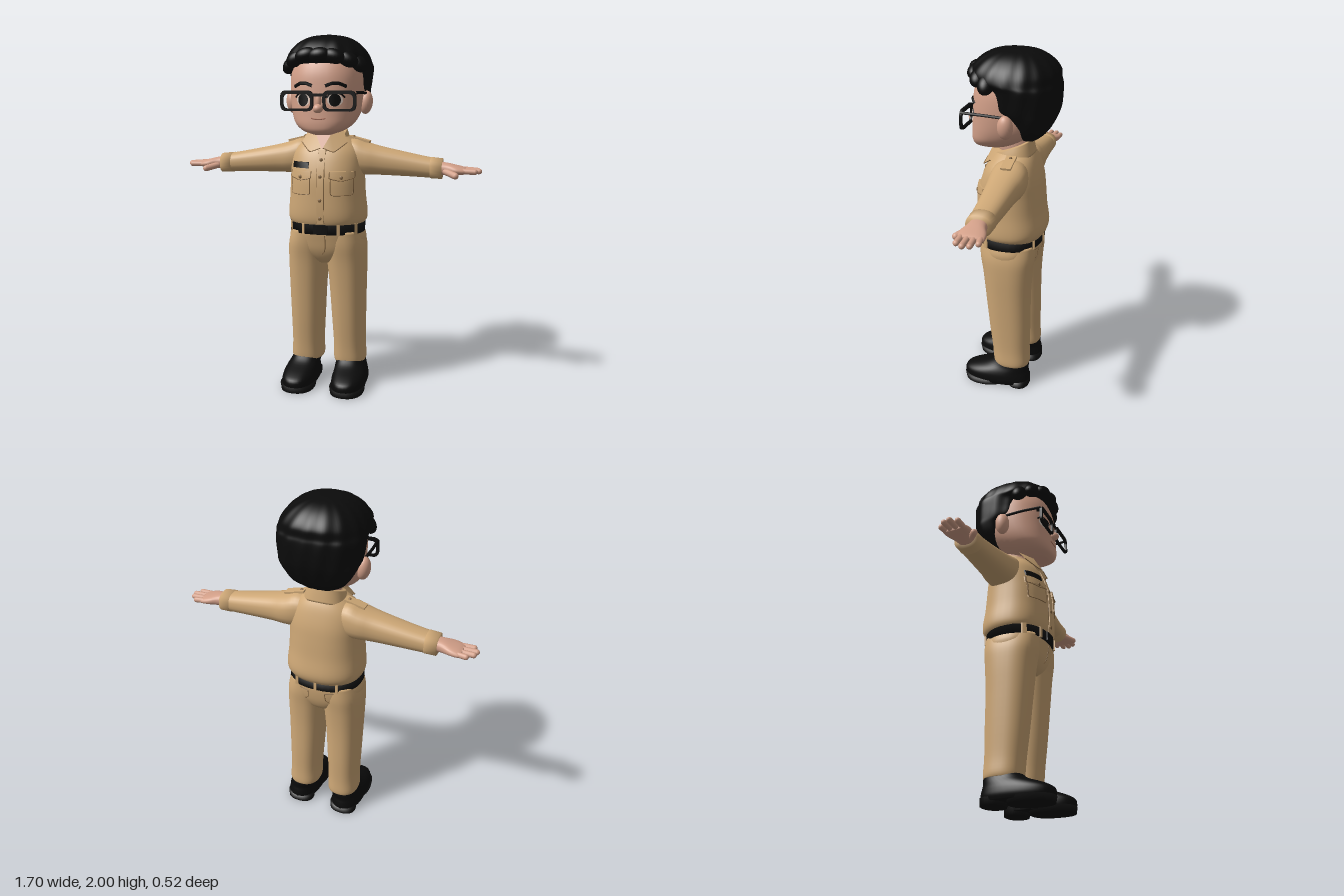
import * as THREE from 'three';
import { mergeVertices } from 'three/addons/utils/BufferGeometryUtils.js';

const P = 2.35; // roundness of the cross-sections
const V = (x, y, z) => new THREE.Vector3(x, y, z);

// Smoothly fills in rows of [height, centreX, centreZ, radiusX, radiusZ]
function densify(rows, sub) {
  const out = [], at = i => rows[Math.max(0, Math.min(rows.length - 1, i))];
  for (let i = 0; i < rows.length - 1; i++) for (let s = 0; s < sub; s++) {
    const t = s / sub;
    out.push(rows[i].map((b, k) => {
      const a = at(i - 1)[k], c = at(i + 1)[k], d = at(i + 2)[k];
      return b + 0.5 * t * (c - a + t * (2 * a - 5 * b + 4 * c - d + t * (3 * (b - c) + d - a)));
    }));
  }
  out.push(rows[rows.length - 1]);
  return out;
}

// Closed solid through rounded cross-sections stacked along y
function loft(rows, sub = 4, seg = 40) {
  const r = densify(rows, sub), pos = [], idx = [], n = r.length;
  const pw = v => Math.sign(v) * Math.pow(Math.abs(v), 2 / P);
  for (const [y, cx, cz, rx, rz] of r) for (let j = 0; j < seg; j++) {
    const a = j / seg * Math.PI * 2;
    pos.push(cx + rx * pw(Math.cos(a)), y, cz + rz * pw(Math.sin(a)));
  }
  for (const i of [0, n - 1]) pos.push(r[i][1], r[i][0], r[i][2]);
  for (let j = 0; j < seg; j++) {
    const k = (j + 1) % seg;
    for (let i = 0; i < n - 1; i++) {
      const a = i * seg + j, b = i * seg + k, c = a + seg, d = b + seg;
      idx.push(a, c, b, b, c, d);
    }
    idx.push(n * seg, j, k, n * seg + 1, (n - 1) * seg + k, (n - 1) * seg + j);
  }
  const g = new THREE.BufferGeometry();
  g.setAttribute('position', new THREE.Float32BufferAttribute(pos, 3));
  g.setIndex(idx);
  g.computeVertexNormals();
  return g;
}
// Same, along x, with rows of [x, centreY, centreZ, radiusY, radiusZ]
const loftX = (rows, sub) => loft(rows.map(([x, cy, ...r]) => [x, -cy, ...r]), sub, 28).rotateZ(-Math.PI / 2);

// Depth of a lofted surface at x, y (side 1 is the front, -1 the back)
function depth(rows, x, y, side = 1) {
  const r = densify(rows, 4);
  let i = 0;
  while (i < r.length - 2 && r[i + 1][0] < y) i++;
  const t = THREE.MathUtils.clamp((y - r[i][0]) / (r[i + 1][0] - r[i][0]), 0, 1);
  const [, cx, cz, rx, rz] = r[i].map((v, k) => v + (r[i + 1][k] - v) * t);
  const u = Math.min(1, Math.abs((x - cx) / rx));
  return cz + side * rz * Math.pow(1 - Math.pow(u, P), 1 / P);
}
// Bends a flat geometry onto a lofted surface
function drape(g, rows, lift = 0) {
  const p = g.attributes.position;
  for (let i = 0; i < p.count; i++) p.setZ(i, p.getZ(i) + lift + depth(rows, p.getX(i), p.getY(i)));
  g.computeVertexNormals();
  return g;
}
const plate = (rows, x, y, w, h, t = 0.012) => drape(new THREE.BoxGeometry(w, h, t, 8, 6, 1).translate(x, y, 0), rows);
const tube = (pts, r) => new THREE.TubeGeometry(new THREE.CatmullRomCurve3(pts, false, 'catmullrom', 0.2), 28, r, 6);
const seam = (rows, pts, side = 1, r = 0.0025) => tube(pts.map(([x, y]) => V(x, y, depth(rows, x, y, side))), r);
const ball = (x, y, z, a, b, c, tilt = 0) => new THREE.SphereGeometry(1, 24, 16).scale(a, b, c).rotateZ(tilt).translate(x, y, z);
function capsule(a, b, r) {
  const d = b.clone().sub(a), q = new THREE.Quaternion().setFromUnitVectors(V(0, 1, 0), d.clone().normalize());
  const m = a.clone().add(b).multiplyScalar(0.5);
  return new THREE.CapsuleGeometry(r, d.length(), 6, 12).applyQuaternion(q).translate(m.x, m.y, m.z);
}
function mirrored(g) {
  const m = g.index ? g.clone() : mergeVertices(g);
  m.scale(-1, 1, 1);
  const a = m.index.array;
  for (let i = 0; i < a.length; i += 3) [a[i], a[i + 1]] = [a[i + 1], a[i]];
  return m;
}
function sheet(points, tris) {
  const g = new THREE.BufferGeometry().setFromPoints(points.map(p => V(...p)));
  g.setIndex(tris);
  g.computeVertexNormals();
  return g;
}

const TORSO = [[0.957, 0, -0.005, 0.2, 0.172], [0.985, 0, -0.008, 0.219, 0.187], [1.03, 0, -0.008, 0.222, 0.193],
  [1.12, 0, -0.002, 0.213, 0.186], [1.22, 0, 0, 0.208, 0.18], [1.3, 0, -0.005, 0.205, 0.166],
  [1.37, 0, -0.01, 0.19, 0.143], [1.42, 0, -0.018, 0.15, 0.116], [1.46, 0, -0.02, 0.09, 0.09]];
const HIPS = [[0.74, 0, -0.005, 0.07, 0.1], [0.77, 0, -0.005, 0.13, 0.13], [0.82, 0, -0.004, 0.2, 0.152],
  [0.88, 0, -0.003, 0.219, 0.164], [0.93, 0, 0, 0.207, 0.17], [0.96, 0, 0, 0.2, 0.17]];
const HEAD = [[1.465, 0, 0.12, 0.045, 0.055], [1.485, 0, 0.1, 0.108, 0.108], [1.52, 0, 0.07, 0.155, 0.146],
  [1.57, 0, 0.03, 0.182, 0.184], [1.64, 0, 0, 0.198, 0.21], [1.72, 0, -0.01, 0.204, 0.215],
  [1.8, 0, -0.02, 0.2, 0.213], [1.88, 0, -0.03, 0.175, 0.185], [1.95, 0, -0.04, 0.1, 0.11]];
const HAIR = [[1.53, 0, -0.105, 0.09, 0.045], [1.57, 0, -0.11, 0.15, 0.085], [1.62, 0, -0.12, 0.187, 0.105],
  [1.67, 0, -0.115, 0.21, 0.132], [1.71, 0, -0.085, 0.222, 0.172], [1.77, 0, -0.08, 0.23, 0.18],
  [1.82, 0, -0.072, 0.235, 0.186], [1.85, 0, -0.03, 0.233, 0.222], [1.89, 0, -0.02, 0.218, 0.23],
  [1.93, 0, -0.018, 0.19, 0.205], [1.965, 0, -0.018, 0.148, 0.162], [1.988, 0, -0.02, 0.095, 0.105], [1.998, 0, -0.02, 0.03, 0.035]];

export function createModel() {
  const model = new THREE.Group();
  model.name = 'uniformedFigure';
  const mat = (name, color, side = THREE.FrontSide) => {
    const m = new THREE.MeshStandardMaterial({ color, side });
    m.name = name;
    return m;
  };
  const khaki = mat('khaki cloth', 0xcda776, THREE.DoubleSide), stitch = mat('dark stitching', 0x8a6a45);
  const skin = mat('skin', 0xd3a089, THREE.DoubleSide), black = mat('black', 0x0b0b0b);
  const lips = mat('lips', 0xa86f5c), eyeWhite = mat('eye white', 0xe0cdc0);
  const add = (name, g, m) => {
    const mesh = new THREE.Mesh(g, m);
    mesh.name = name;
    model.add(mesh);
  };
  const pair = (name, g, m) => { add(name + 'Left', g, m); add(name + 'Right', mirrored(g), m); };

  // Shoes with a separate heel and front sole
  pair('shoe', loft([[0.02, 0.143, 0.053, 0.094, 0.196], [0.045, 0.145, 0.053, 0.099, 0.201], [0.075, 0.145, 0.051, 0.096, 0.194],
    [0.1, 0.143, 0.03, 0.09, 0.167], [0.13, 0.135, -0.015, 0.084, 0.125], [0.16, 0.13, -0.032, 0.08, 0.1]]), black);
  pair('shoeHeel', loft([[0, 0.143, -0.085, 0.08, 0.062], [0.04, 0.143, -0.08, 0.084, 0.067]], 1), black);
  pair('shoeSole', loft([[0, 0.145, 0.125, 0.095, 0.122], [0.035, 0.145, 0.125, 0.1, 0.128]], 1), black);

  // Trousers
  pair('trouserLeg', loft([[0.14, 0.127, -0.035, 0.09, 0.104], [0.165, 0.127, -0.034, 0.094, 0.108], [0.25, 0.125, -0.028, 0.091, 0.11],
    [0.4, 0.122, -0.02, 0.096, 0.12], [0.6, 0.118, -0.01, 0.104, 0.13], [0.75, 0.113, -0.006, 0.112, 0.142],
    [0.85, 0.108, -0.003, 0.113, 0.155], [0.93, 0.1, 0, 0.1, 0.155]]), khaki);
  add('trouserHips', loft(HIPS), khaki);
  add('flySeam', seam(HIPS, [[0.022, 0.91], [0.022, 0.85], [0.015, 0.815], [0, 0.8]]), stitch);
  pair('frontPocketSeam', seam(HIPS, [[0.165, 0.91], [0.185, 0.87], [0.203, 0.83]]), stitch);
  pair('backPocketSeam', seam(HIPS, [[0.05, 0.89], [0.055, 0.84], [0.1, 0.82], [0.15, 0.84], [0.16, 0.89], [0.1, 0.897], [0.05, 0.89]], -1), stitch);

  // Belt, buckle and loops
  const BELT = [[0.917, 0, 0, 0.211, 0.179], [0.972, 0, 0, 0.211, 0.179]];
  add('belt', loft(BELT, 1), black);
  add('beltBuckle', plate(BELT, 0, 0.945, 0.08, 0.05, 0.014), black);
  pair('frontBeltLoop', plate(BELT, 0.1, 0.945, 0.015, 0.062, 0.014), khaki);
  pair('sideBeltLoop', plate(BELT, 0.185, 0.945, 0.013, 0.062, 0.014), khaki);
  for (const x of [-0.12, 0, 0.12])
    add('backBeltLoop', new THREE.BoxGeometry(0.016, 0.062, 0.012).translate(x, 0.945, depth(BELT, x, 0.945, -1)), khaki);

  // Shirt body, sleeves and cuffs
  add('shirtBody', loft(TORSO), khaki);
  pair('sleeve', loftX([[0.06, 1.345, -0.03, 0.075, 0.08], [0.15, 1.337, -0.03, 0.1, 0.1], [0.22, 1.325, -0.03, 0.09, 0.101],
    [0.3, 1.315, -0.028, 0.079, 0.089], [0.45, 1.298, -0.027, 0.065, 0.076], [0.58, 1.284, -0.024, 0.055, 0.067],
    [0.63, 1.281, -0.022, 0.052, 0.063]]), khaki);
  pair('cuff', loftX([[0.575, 1.284, -0.024, 0.058, 0.07], [0.638, 1.28, -0.022, 0.056, 0.068]], 1), khaki);
  pair('epaulette', new THREE.BoxGeometry(0.12, 0.012, 0.055).rotateZ(-0.24).translate(0.175, 1.432, -0.03), khaki);
  pair('epauletteButton', ball(0.14, 1.447, -0.03, 0.009, 0.006, 0.009), stitch);

  // Placket, buttons, pockets and name plate
  add('placket', plate(TORSO, 0, 1.18, 0.038, 0.4), khaki);
  pair('placketSeam', seam(TORSO, [[0.02, 0.98], [0.02, 1.1], [0.02, 1.25], [0.02, 1.38]], 1, 0.003), stitch);
  for (const y of [1.01, 1.11, 1.24, 1.33])
    add('shirtButton', ball(0, y, depth(TORSO, 0, y) + 0.007, 0.01, 0.01, 0.005), stitch);
  pair('chestPocket', plate(TORSO, 0.115, 1.2, 0.115, 0.12, 0.014), khaki);
  pair('pocketSeam', drape(tube([V(0.058, 1.24, 0), V(0.058, 1.15, 0), V(0.07, 1.139, 0), V(0.16, 1.139, 0), V(0.173, 1.15, 0), V(0.173, 1.24, 0)], 0.0025), TORSO, 0.006), stitch);
  pair('pocketFlap', plate(TORSO, 0.115, 1.25, 0.126, 0.036, 0.024), khaki);
  pair('flapSeam', drape(tube([V(0.052, 1.268, 0), V(0.053, 1.232, 0), V(0.115, 1.218, 0), V(0.177, 1.232, 0), V(0.178, 1.268, 0)], 0.0025), TORSO, 0.011), stitch);
  pair('pocketButton', ball(0.115, 1.236, depth(TORSO, 0.115, 1.236) + 0.012, 0.01, 0.01, 0.005), stitch);
  add('namePlate', plate(TORSO, -0.12, 1.298, 0.1, 0.032, 0.016), black);

  // Neck and collar, tilted up towards the back
  add('neck', loft([[1.4, 0, -0.01, 0.078, 0.08], [1.56, 0, -0.01, 0.082, 0.085]], 1), skin);
  const collar = loft([[1.39, 0, -0.015, 0.125, 0.112], [1.44, 0, -0.012, 0.112, 0.106], [1.475, 0, -0.012, 0.1, 0.099]]);
  const cp = collar.attributes.position;
  for (let i = 0; i < cp.count; i++) cp.setY(i, cp.getY(i) - 0.4 * cp.getZ(i));
  collar.computeVertexNormals();
  add('collar', collar, khaki);
  add('openNeck', sheet([[0, 1.385, 0.137], [0.045, 1.46, 0.098], [-0.045, 1.46, 0.098]], [0, 1, 2]), skin);
  pair('collarWing', sheet([[0.1, 1.485, 0.04], [0.006, 1.392, 0.142], [0.068, 1.372, 0.144], [0.128, 1.42, 0.085], [0.04, 1.46, 0.105]],
    [4, 1, 2, 4, 2, 3, 4, 3, 0]), khaki);
  pair('collarSeam', tube([V(0.006, 1.392, 0.143), V(0.068, 1.372, 0.145), V(0.128, 1.42, 0.086)], 0.0025), stitch);

  // Hands
  pair('palm', loftX([[0.6, 1.282, -0.02, 0.036, 0.045], [0.66, 1.28, -0.02, 0.034, 0.05], [0.71, 1.276, -0.02, 0.027, 0.068],
    [0.75, 1.272, -0.024, 0.021, 0.068], [0.77, 1.271, -0.026, 0.014, 0.06]]), skin);
  [[-0.078, 0.795], [-0.045, 0.828], [-0.01, 0.836], [0.026, 0.815]].forEach(([z, tip]) =>
    pair('finger', capsule(V(0.74, 1.273, z * 0.9), V(tip, 1.272, z), 0.0155), skin));
  pair('thumb', capsule(V(0.66, 1.268, 0.02), V(0.715, 1.252, 0.065), 0.018), skin);

  // Head, ears and face
  add('head', loft(HEAD), skin);
  pair('ear', ball(0.21, 1.635, -0.022, 0.037, 0.064, 0.042, -0.1), skin);
  add('nose', ball(0, 1.607, 0.22, 0.027, 0.024, 0.03), skin);
  add('noseBridge', ball(0, 1.645, 0.208, 0.016, 0.045, 0.016), skin);
  add('mouth', seam(HEAD, [[-0.04, 1.556], [-0.015, 1.551], [0.015, 1.551], [0.04, 1.556]], 1, 0.0035), lips);
  const disc = (w, h, lift) => drape(new THREE.RingGeometry(0.0001, 1, 24, 4).scale(w, h, 1).translate(0.087, 1.652, 0), HEAD, lift);
  pair('eyeWhite', disc(0.04, 0.034, 0.003), eyeWhite);
  pair('iris', disc(0.03, 0.034, 0.006), black);
  pair('upperLid', seam(HEAD, [[0.042, 1.662], [0.06, 1.682], [0.09, 1.69], [0.118, 1.682], [0.135, 1.665]], 1, 0.005), black);
  pair('eyebrow', seam(HEAD, [[0.035, 1.725], [0.07, 1.738], [0.105, 1.738], [0.14, 1.722]], 1, 0.01), black);

  // Glasses
  const roundRect = (s, x0, y0, x1, y1, r) => {
    s.moveTo(x0 + r, y0).lineTo(x1 - r, y0).quadraticCurveTo(x1, y0, x1, y0 + r).lineTo(x1, y1 - r).quadraticCurveTo(x1, y1, x1 - r, y1);
    return s.lineTo(x0 + r, y1).quadraticCurveTo(x0, y1, x0, y1 - r).lineTo(x0, y0 + r).quadraticCurveTo(x0, y0, x0 + r, y0);
  };
  const rim = roundRect(new THREE.Shape(), 0.026, 1.593, 0.206, 1.702, 0.035);
  rim.holes.push(roundRect(new THREE.Path(), 0.041, 1.606, 0.191, 1.684, 0.028));
  pair('glassesRim', new THREE.ExtrudeGeometry(rim, { depth: 0.014, bevelEnabled: false }).translate(0, 0, 0.214), black);
  add('glassesBridge', new THREE.BoxGeometry(0.07, 0.014, 0.014).translate(0, 1.678, 0.222), black);
  pair('glassesTemple', tube([V(0.2, 1.69, 0.22), V(0.21, 1.69, 0.1), V(0.212, 1.685, -0.02)], 0.008), black);

  // Hair with swirling ridges, and swept locks along the hairline
  const hair = loft(HAIR, 5, 96), hp = hair.attributes.position;
  for (let i = 0; i < hp.count; i++) {
    const x = hp.getX(i), y = hp.getY(i), z = hp.getZ(i) + 0.03;
    const k = 1 + 0.012 * Math.sin(16 * Math.atan2(z, x) + 14 * y);
    hp.setXYZ(i, x * k, y, z * k - 0.03);
  }
  hair.computeVertexNormals();
  add('hair', hair, black);
  [[0.185, 1.845, 0.085, -0.7], [0.14, 1.865, 0.14, -0.45], [0.075, 1.88, 0.175, -0.25], [0, 1.885, 0.19, 0.1],
    [-0.075, 1.885, 0.18, 0.25], [-0.14, 1.868, 0.135, 0.5], [-0.185, 1.84, 0.075, 0.8]].forEach(([x, y, z, tilt]) =>
    add('frontLock', ball(x, y, z, 0.062, 0.04, 0.045, tilt), black));
  return model;
}
